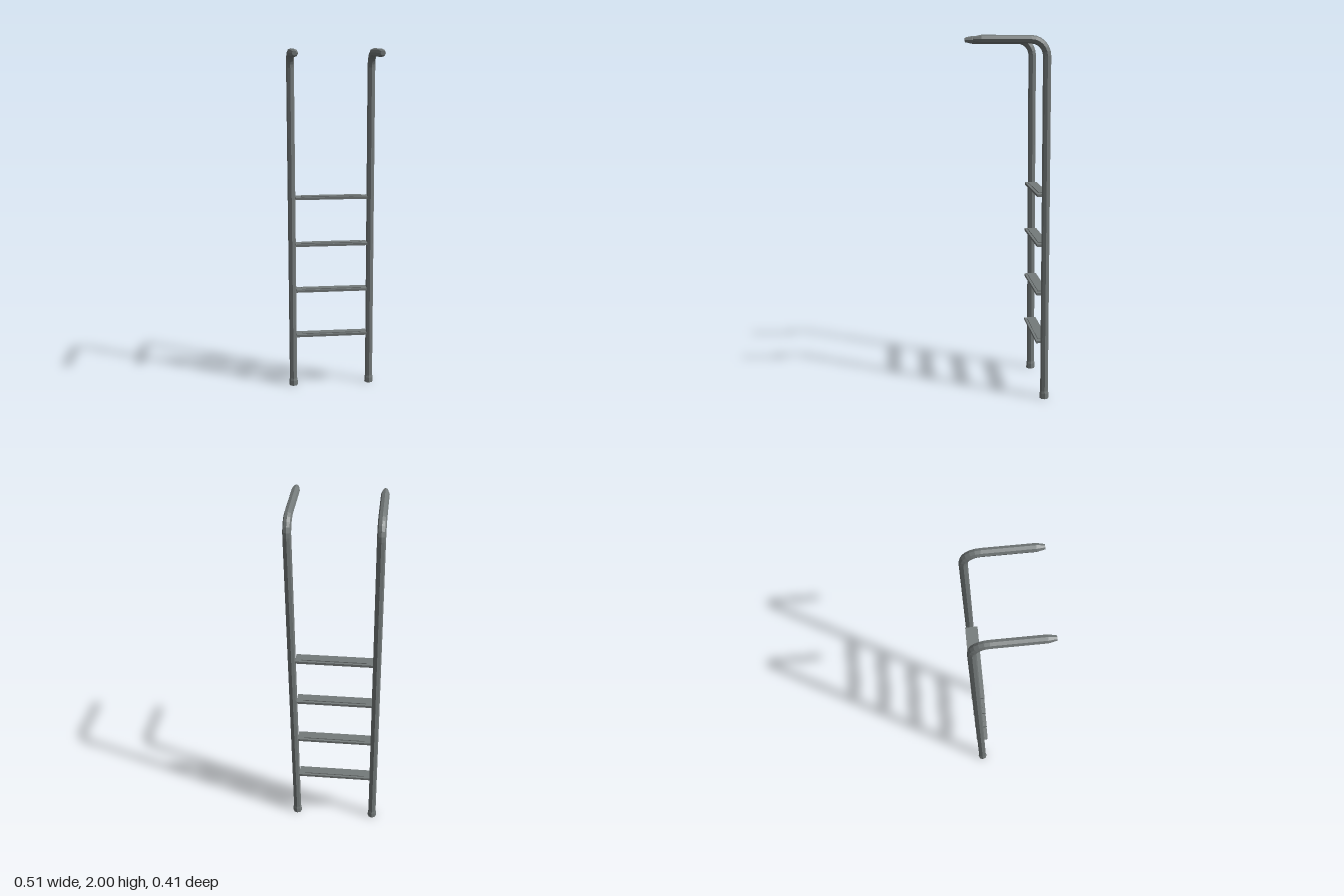
import * as THREE from 'three';

const SIDES = 8, RAIL_X = 0.23, RAIL_Z = -0.18, R = 0.022, BEND = 0.085, TOP = 1.978;

// Sweeps an octagon along stations { z, y, r, t }, where t turns from up (0) to forward (PI/2)
function sweepOctagon(stations) {
  const pos = [], index = [];
  const push = (s, a, r) => pos.push(
    Math.cos(a) * r,
    s.y + Math.sin(s.t) * Math.sin(a) * r,
    s.z - Math.cos(s.t) * Math.sin(a) * r);
  for (const s of stations)
    for (let j = 0; j < SIDES; j++) push(s, (j / SIDES) * Math.PI * 2, s.r);
  const last = stations.length - 1, c0 = stations.length * SIDES, c1 = c0 + 1;
  push(stations[0], 0, 0);
  push(stations[last], 0, 0);
  for (let j = 0; j < SIDES; j++) {
    const k = (j + 1) % SIDES;
    for (let i = 0; i < last; i++) {
      const a = i * SIDES + j, b = i * SIDES + k;
      index.push(a, b, b + SIDES, a, b + SIDES, a + SIDES);
    }
    index.push(c0, k, j, c1, last * SIDES + j, last * SIDES + k);
  }
  const g = new THREE.BufferGeometry();
  g.setAttribute('position', new THREE.Float32BufferAttribute(pos, 3));
  g.setIndex(index);
  const flat = g.toNonIndexed();
  flat.computeVertexNormals();
  return flat;
}

export function createModel() {
  const model = new THREE.Group();
  model.name = 'ladder';
  const metal = new THREE.MeshStandardMaterial({ color: 0x747a7a });
  metal.name = 'grey metal';

  // Upright, rounded bend, horizontal grip and tapered tip
  const path = [{ z: RAIL_Z, y: 0.02, r: R, t: 0 }];
  for (let i = 0; i <= 6; i++) {
    const t = (i / 6) * Math.PI / 2;
    path.push({
      z: RAIL_Z + BEND * (1 - Math.cos(t)),
      y: TOP - BEND + BEND * Math.sin(t),
      r: R, t });
  }
  path.push({ z: 0.165, y: TOP, r: R, t: Math.PI / 2 });
  path.push({ z: 0.206, y: TOP, r: 0.013, t: Math.PI / 2 });
  const railGeometry = sweepOctagon(path);

  // Flared foot cap
  const footGeometry = sweepOctagon([
    { z: RAIL_Z, y: 0, r: 0.026, t: 0 },
    { z: RAIL_Z, y: 0.03, r: 0.025, t: 0 },
    { z: RAIL_Z, y: 0.044, r: 0.022, t: 0 }]);

  for (const [side, name] of [[1, 'left'], [-1, 'right']]) {
    const rail = new THREE.Mesh(railGeometry, metal);
    rail.name = name + 'Rail';
    const foot = new THREE.Mesh(footGeometry, metal);
    foot.name = name + 'Foot';
    rail.position.x = foot.position.x = side * RAIL_X;
    model.add(rail, foot);
  }

  // Flat rungs, each with a thin raised tread
  const rungGeometry = new THREE.BoxGeometry(0.418, 0.014, 0.069);
  const treadGeometry = new THREE.BoxGeometry(0.35, 0.007, 0.043);
  for (let i = 0; i < 4; i++) {
    const rung = new THREE.Group();
    rung.name = 'rung' + (i + 1);
    const board = new THREE.Mesh(rungGeometry, metal);
    board.name = 'board';
    const tread = new THREE.Mesh(treadGeometry, metal);
    tread.name = 'tread';
    tread.position.y = 0.0085;
    rung.add(board, tread);
    rung.position.set(0, 0.323 + i * 0.277, -0.1715);
    model.add(rung);
  }
  return model;
}
